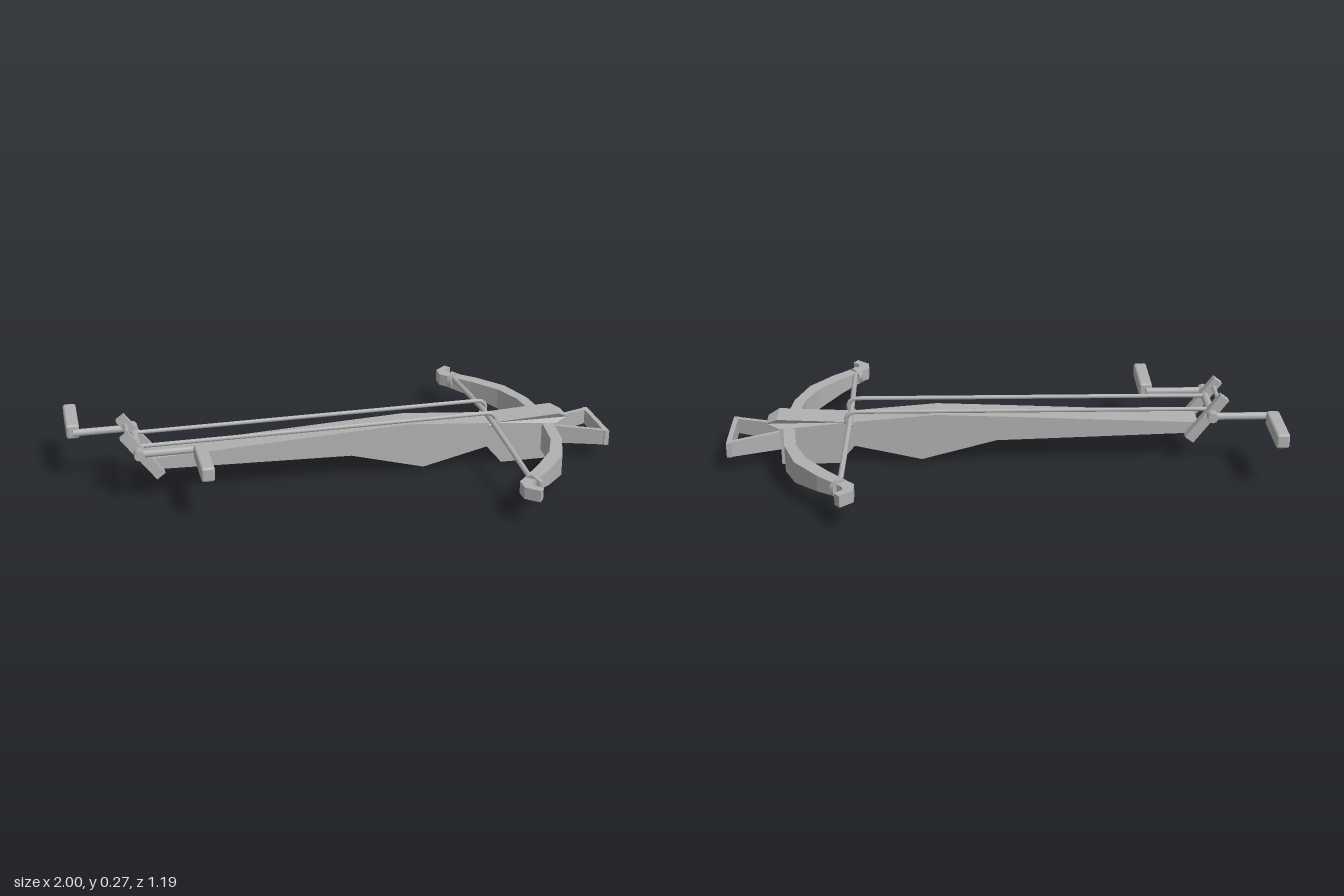
import * as THREE from 'three';
import { RoundedBoxGeometry } from 'three/addons/geometries/RoundedBoxGeometry.js';

const grey = new THREE.MeshStandardMaterial({ color: 0xb0b0b0 });
grey.name = 'plain grey';

const V = (x, y, z) => new THREE.Vector3(x, y, z);

export function createModel() {
  const model = new THREE.Group();
  model.name = 'crossbow';

  const add = (name, geometry, x = 0, y = 0, z = 0) => {
    const mesh = new THREE.Mesh(geometry, grey);
    mesh.name = name;
    mesh.position.set(x, y, z);
    model.add(mesh);
    return mesh;
  };

  // Straight round bar between two points
  const bar = (name, a, b, radius, sides = 10) => {
    const mesh = add(name, new THREE.CylinderGeometry(radius, radius, a.distanceTo(b), sides));
    mesh.position.copy(a).lerp(b, 0.5);
    mesh.quaternion.setFromUnitVectors(V(0, 1, 0), b.clone().sub(a).normalize());
    return mesh;
  };

  // Faceted loft through four-cornered sections, closed at both ends
  const loft = (sections) => {
    const pos = [];
    const quad = (a, b, c, d) => [a, b, c, a, c, d].forEach((p) => pos.push(...p));
    for (let i = 0; i < sections.length - 1; i++) {
      const s = sections[i], t = sections[i + 1];
      for (let k = 0; k < 4; k++) {
        const n = (k + 1) % 4;
        quad(s[k], s[n], t[n], t[k]);
      }
    }
    const first = sections[0], last = sections[sections.length - 1];
    quad(first[3], first[2], first[1], first[0]);
    quad(last[0], last[1], last[2], last[3]);
    const geometry = new THREE.BufferGeometry();
    geometry.setAttribute('position', new THREE.Float32BufferAttribute(pos, 3));
    geometry.computeVertexNormals();
    return geometry;
  };

  // Stock: side outline extruded across, with a narrowed nose
  const outline = [
    [-0.69, 0.105], [0.02, 0.085], [0.295, 0.012], [0.54, 0.07], [0.6, 0], [0.81, 0],
    [0.81, 0.14], [0.855, 0.145], [0.86, 0.157], [0.82, 0.178], [0.55, 0.165],
    [0.24, 0.19], [0.0, 0.18], [-0.72, 0.147],
  ].map(([x, y]) => new THREE.Vector2(x, y));
  const stock = new THREE.ExtrudeGeometry(new THREE.Shape(outline), { depth: 0.106, bevelEnabled: false });
  stock.translate(0, 0, -0.053);
  const p = stock.attributes.position;
  for (let i = 0; i < p.count; i++) {
    if (p.getX(i) > 0.83) p.setZ(i, p.getZ(i) * 0.75);
  }
  stock.computeVertexNormals();
  add('stock', stock);

  // Bow: [outer x, outer z, inner x, inner z, bottom y, top y] from middle to recurved tip
  const limb = [
    [0.8, 0, 0.755, 0, 0.035, 0.143], [0.797, 0.06, 0.754, 0.07, 0.036, 0.143],
    [0.78, 0.2, 0.738, 0.195, 0.042, 0.144], [0.733, 0.334, 0.695, 0.3, 0.064, 0.144],
    [0.647, 0.44, 0.615, 0.4, 0.083, 0.144], [0.56, 0.52, 0.535, 0.485, 0.098, 0.143],
    [0.552, 0.535, 0.515, 0.505, 0.098, 0.143], [0.553, 0.548, 0.515, 0.555, 0.099, 0.143],
    [0.578, 0.572, 0.56, 0.595, 0.1, 0.143],
  ];
  for (const side of [1, -1]) {
    const sections = limb.map(([ox, oz, ix, iz, lo, hi]) => {
      const s = [[ox, lo, oz * side], [ox, hi, oz * side], [ix, hi, iz * side], [ix, lo, iz * side]];
      return side > 0 ? s : s.reverse();
    });
    add('bowLimb', loft(sections));

    // String loop wrapped around the limb end
    const collar = add('stringLoop', new THREE.CylinderGeometry(0.036, 0.036, 0.02, 6), 0.568, 0.12, 0.488 * side);
    collar.rotation.set(Math.PI / 2, 0, side * 0.7);

    // Half of the bowstring, rising to the hooks
    bar('bowstring', V(0.566, 0.13, 0.5 * side), V(0.553, 0.178, 0.06 * side), 0.01, 8);

    // Drawing rod with a hook bent down over the string
    const path = new THREE.CurvePath();
    path.add(new THREE.LineCurve3(V(-0.765, 0.205, 0.061 * side), V(0.53, 0.21, 0.061 * side)));
    path.add(new THREE.QuadraticBezierCurve3(
      V(0.53, 0.21, 0.061 * side), V(0.567, 0.21, 0.061 * side), V(0.567, 0.175, 0.061 * side)));
    path.add(new THREE.QuadraticBezierCurve3(
      V(0.567, 0.175, 0.061 * side), V(0.567, 0.155, 0.061 * side), V(0.54, 0.16, 0.061 * side)));
    add('drawingRod', new THREE.TubeGeometry(path, 90, 0.008, 8));

    // Slanted winch plate
    const plate = add('winchPlate', new THREE.BoxGeometry(0.038, 0.205, 0.03), -0.745, 0.178, 0.08 * side);
    plate.rotation.z = 0.64;

    // Axle collar
    bar('axleCollar', V(-0.76, 0.2, 0.1 * side), V(-0.76, 0.2, 0.137 * side), 0.019, 10);

    // Crank arm and grip, pointing opposite ways on the two sides
    const end = side > 0 ? -0.546 : -0.975;
    bar('crankArm', V(-0.76, 0.2, 0.117 * side), V(end, 0.2, 0.117 * side), 0.014, 8);
    add('crankGrip', new RoundedBoxGeometry(0.048, 0.055, 0.21, 2, 0.01), end, 0.198, 0.232 * side);

    // Stirrup leg
    const leg = [[0.8, 0.04, 0.055, 0.125], [1.0, 0.118, 0.06, 0.117]].map(([x, z, lo, hi]) => {
      const s = [[x, lo, z * side], [x, hi, z * side], [x, hi, (z - 0.018) * side], [x, lo, (z - 0.018) * side]];
      return side > 0 ? s.reverse() : s;
    });
    add('stirrupLeg', loft(leg));
  }

  // Bowstring middle, lying over the stock
  bar('bowstringMiddle', V(0.553, 0.178, -0.062), V(0.553, 0.178, 0.062), 0.01, 8);

  // Stirrup foot bar
  add('stirrupBar', new THREE.BoxGeometry(0.018, 0.057, 0.236), 0.991, 0.0885, 0);

  // Winch axle, upper cross bar and lower block joining the plates to the stock
  bar('winchAxle', V(-0.76, 0.2, -0.125), V(-0.76, 0.2, 0.125), 0.015, 10);
  bar('winchCrossBar', V(-0.79, 0.236, -0.068), V(-0.79, 0.236, 0.068), 0.009, 8);
  bar('winchMountPin', V(-0.695, 0.122, -0.08), V(-0.695, 0.122, 0.08), 0.012, 8);

  return model;
}
